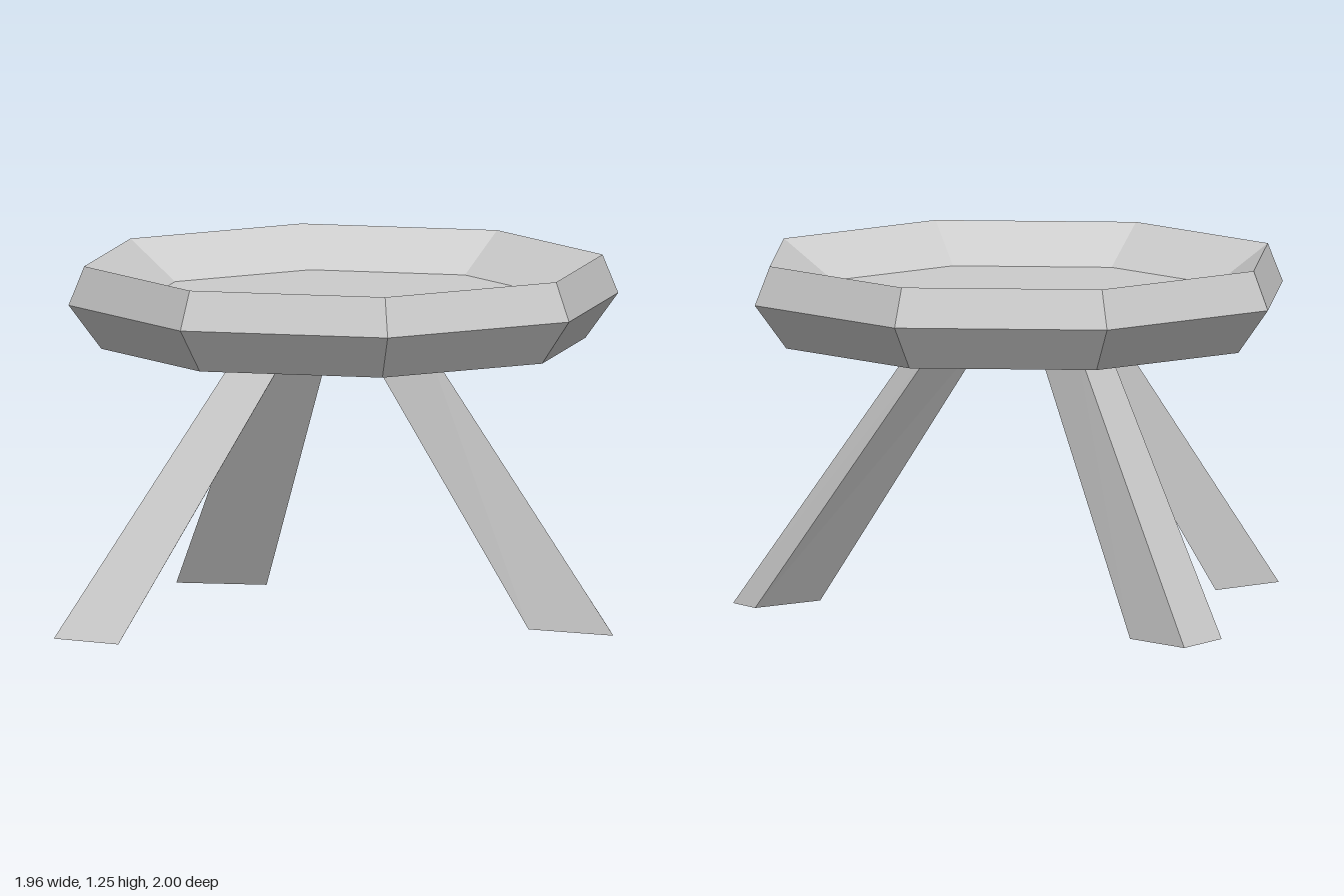
import * as THREE from 'three';

const grey = new THREE.MeshStandardMaterial({ color: 0xcccccc });
grey.name = 'plain grey';
grey.flatShading = true;
grey.side = THREE.DoubleSide;

// Tapered three-sided leg: foot and top are corner lists [x, y, z], counterclockwise from above
function legGeometry(foot, top) {
  const pos = [];
  const tri = (...corners) => corners.forEach((c) => pos.push(...c));
  for (let i = 0; i < 3; i++) {
    const j = (i + 1) % 3;
    tri(foot[i], foot[j], top[j]);
    tri(foot[i], top[j], top[i]);
  }
  tri(top[0], top[1], top[2]);
  tri(foot[0], foot[2], foot[1]);
  const g = new THREE.BufferGeometry();
  g.setAttribute('position', new THREE.Float32BufferAttribute(pos, 3));
  g.computeVertexNormals();
  return g;
}

export function createModel() {
  const model = new THREE.Group();
  model.name = 'stool';

  // Octagonal dish seat: flared skirt open below, sloped rim, sunken floor
  const profile = [[0.85, 0.965], [0.965, 1.12], [0.91, 1.255], [0.72, 1.12], [0, 1.12]]
    .map(([r, y]) => new THREE.Vector2(r, y));
  const seat = new THREE.Mesh(new THREE.LatheGeometry(profile, 8), grey);
  seat.name = 'seat';
  seat.position.set(-0.02, 0, -0.036);
  model.add(seat);

  // Three splayed legs ending just inside the skirt
  const legs = {
    frontLeg: {
      foot: [[-0.51, 0.01, 1.0], [-0.245, 0.01, 0.985], [-0.405, 0.01, 0.72]],
      top: [[-0.17, 0.99, 0.354], [0.022, 0.99, 0.344], [-0.094, 0.99, 0.15]],
    },
    backRightLeg: {
      foot: [[-0.95, 0.01, -0.615], [-0.965, 0.01, -0.355], [-0.68, 0.01, -0.495]],
      top: [[-0.335, 0.99, -0.225], [-0.344, 0.99, -0.027], [-0.13, 0.99, -0.133]],
    },
    leftLeg: {
      foot: [[0.7, 0.012, -0.135], [0.98, 0, -0.25], [0.8, 0.018, -0.44]],
      top: [[0.115, 0.99, 0.036], [0.328, 0.99, -0.043], [0.19, 0.99, -0.194]],
    },
  };
  for (const [name, { foot, top }] of Object.entries(legs)) {
    const leg = new THREE.Mesh(legGeometry(foot, top), grey);
    leg.name = name;
    model.add(leg);
  }
  return model;
}
